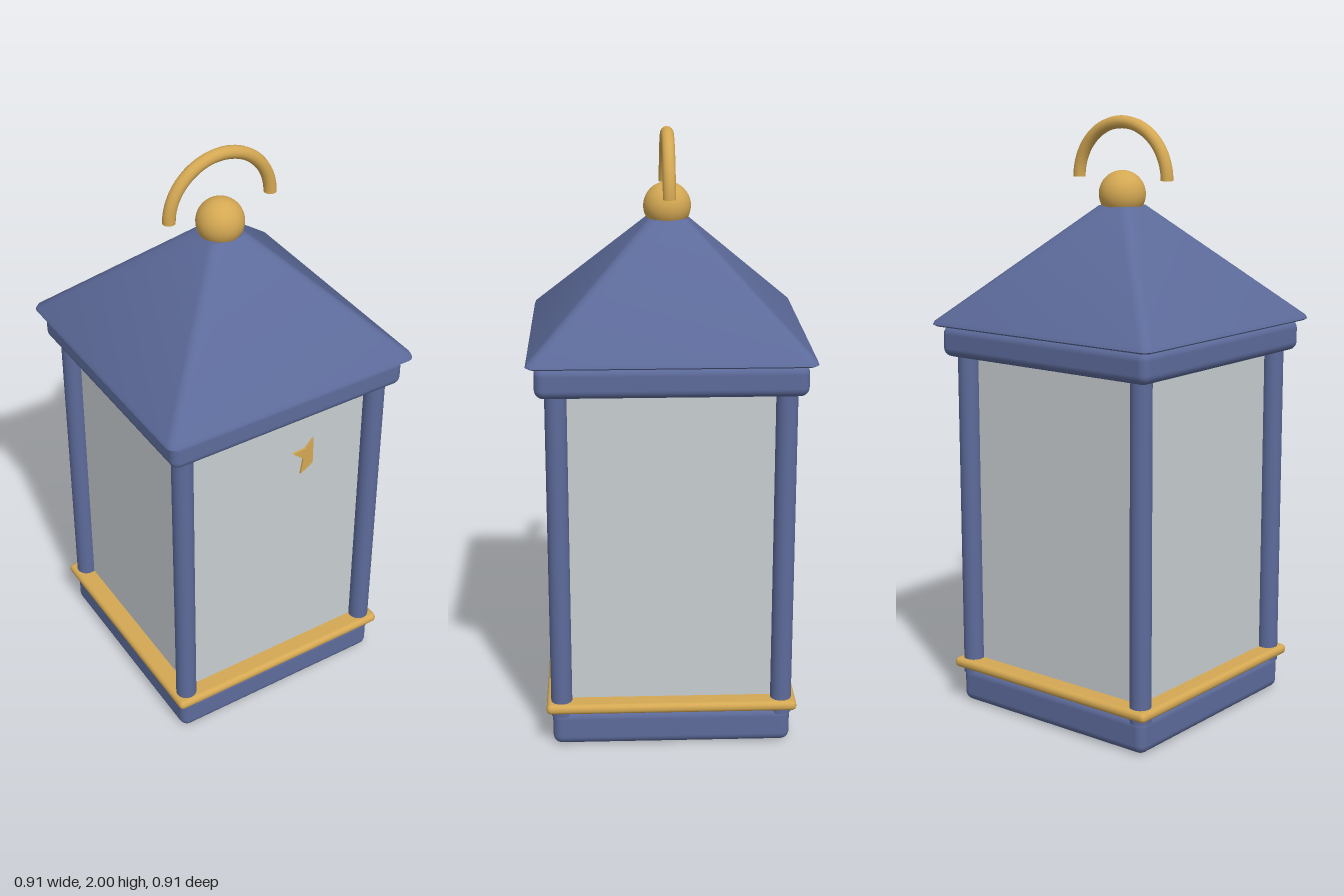
import * as THREE from 'three';
import { toCreasedNormals } from 'three/addons/utils/BufferGeometryUtils.js';
import { RoundedBoxGeometry } from 'three/addons/geometries/RoundedBoxGeometry.js';

// Stacked rounded-square rings: each ring is [half width, y, corner radius]
function loftRoundedSquares(rings, cornerSteps = 4) {
  const positions = [];
  const index = [];
  const n = 4 * (cornerSteps + 1);
  for (const [half, y, r] of rings) {
    for (let c = 0; c < 4; c++) {
      const mid = Math.PI / 4 + c * Math.PI / 2;
      const cx = Math.sign(Math.cos(mid)) * (half - r);
      const cz = Math.sign(Math.sin(mid)) * (half - r);
      for (let s = 0; s <= cornerSteps; s++) {
        const a = (c + s / cornerSteps) * Math.PI / 2;
        positions.push(cx + r * Math.cos(a), y, cz + r * Math.sin(a));
      }
    }
  }
  for (let k = 0; k < rings.length - 1; k++) {
    for (let i = 0; i < n; i++) {
      const a = k * n + i, b = k * n + (i + 1) % n;
      index.push(a, a + n, b, b, a + n, b + n);
    }
  }
  // Close the bottom and the top with fans
  const top = (rings.length - 1) * n;
  for (let i = 1; i < n - 1; i++) {
    index.push(0, i, i + 1, top, top + i + 1, top + i);
  }
  const geo = new THREE.BufferGeometry();
  geo.setAttribute('position', new THREE.Float32BufferAttribute(positions, 3));
  geo.setIndex(index);
  return toCreasedNormals(geo, 0.6);
}

export function createModel() {
  const lantern = new THREE.Group();
  lantern.name = 'lantern';
  const blue = new THREE.MeshStandardMaterial({ color: 0x5d6b9b });
  const gold = new THREE.MeshStandardMaterial({ color: 0xd4a853 });
  const glass = new THREE.MeshStandardMaterial({ color: 0xc8ced1 });
  blue.name = 'bluePaint';
  gold.name = 'brass';
  glass.name = 'frostedGlass';

  function add(name, geometry, material, x = 0, y = 0, z = 0, parent = lantern) {
    const mesh = new THREE.Mesh(geometry, material);
    mesh.name = name;
    mesh.position.set(x, y, z);
    parent.add(mesh);
    return mesh;
  }

  // Body: base, brass trim, glass and upper frame
  add('base', new RoundedBoxGeometry(0.79, 0.122, 0.79, 4, 0.03), blue, 0, 0.063, 0);
  add('baseTrim', new RoundedBoxGeometry(0.83, 0.034, 0.83, 4, 0.016), gold, 0, 0.139, 0);
  add('glassPanes', new THREE.BoxGeometry(0.7, 1.06, 0.7), glass, 0, 0.67, 0);
  add('upperFrame', new RoundedBoxGeometry(0.86, 0.105, 0.86, 4, 0.03), blue, 0, 1.266, 0);

  // Corner posts
  const postGeo = new THREE.CylinderGeometry(0.035, 0.035, 1.13, 20);
  for (const x of [-0.365, 0.365]) {
    for (const z of [-0.365, 0.365]) add('cornerPost', postGeo, blue, x, 0.67, z);
  }

  // Pyramid roof with softened hips
  add('roof', loftRoundedSquares([
    [0.445, 1.316, 0.025],
    [0.455, 1.322, 0.03],
    [0.45, 1.334, 0.03],
    [0.064, 1.708, 0.03],
  ]), blue);

  // Finial ball and carrying loop
  add('finial', new THREE.SphereGeometry(0.078, 32, 20), gold, 0, 1.745, 0);
  const handle = new THREE.Group();
  handle.name = 'handle';
  handle.position.y = 1.795;
  lantern.add(handle);
  add('handleArc', new THREE.TorusGeometry(0.184, 0.021, 14, 40, Math.PI), gold, 0, 0, 0, handle);
  const capGeo = new THREE.CircleGeometry(0.021, 14).rotateX(Math.PI / 2);
  for (const x of [-0.184, 0.184]) add('handleEnd', capGeo, gold, x, 0, 0, handle);

  // Partial star on the front pane
  const star = new THREE.Shape([
    [0.058, 1.027], [0.1, 0.99], [0.09, 0.931],
    [0.137, 0.96], [0.137, 1.063], [0.108, 1.031],
  ].map(([x, y]) => new THREE.Vector2(x, y)));
  add('starOrnament', new THREE.ExtrudeGeometry(star, { depth: 0.008, bevelEnabled: false }), gold, 0, 0, 0.349);

  return lantern;
}
